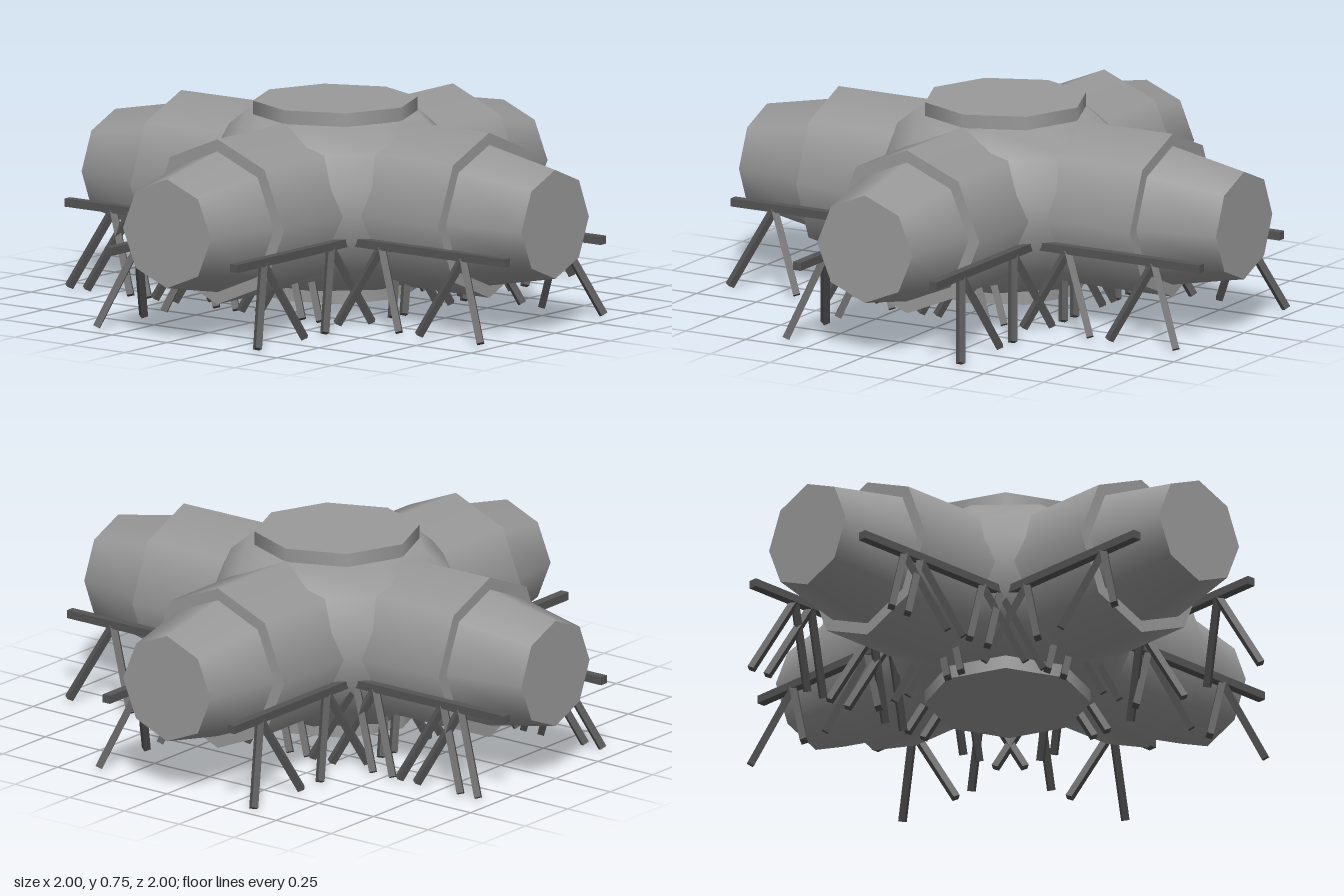
import * as THREE from 'three';

const hullGrey = new THREE.MeshStandardMaterial({ color: 0x9a9a9a });
hullGrey.name = 'hullGrey';
const strutGrey = new THREE.MeshStandardMaterial({ color: 0x555555 });
strutGrey.name = 'strutGrey';

const CENTER_Y = 0.405;
const UP = new THREE.Vector3(0, 1, 0);

function add(parent, name, geometry, material) {
  const mesh = new THREE.Mesh(geometry, material);
  mesh.name = name;
  parent.add(mesh);
  return mesh;
}

// square bar between two points
function bar(parent, name, a, b, thickness) {
  const dir = b.clone().sub(a);
  const mesh = add(parent, name, new THREE.BoxGeometry(thickness, dir.length(), thickness), strutGrey);
  mesh.position.copy(a).add(b).multiplyScalar(0.5);
  mesh.quaternion.setFromUnitVectors(UP, dir.normalize());
  return mesh;
}

// eight-sided tube section lying along z with a corner on top
function section(parent, name, rOuter, rInner, z0, z1) {
  const geo = new THREE.CylinderGeometry(rOuter, rInner, z1 - z0, 8);
  geo.rotateX(Math.PI / 2);
  geo.translate(0, 0, (z0 + z1) / 2);
  add(parent, name, geo, hullGrey);
}

// rail along one side of an arm, standing on splayed V legs
function legRail(parent, side, apexes, end) {
  const rail = new THREE.Group();
  rail.name = side > 0 ? 'supportRailA' : 'supportRailB';
  const x = side * 0.285;
  const beam = add(rail, 'railBeam', new THREE.BoxGeometry(0.033, 0.03, end + 0.1), strutGrey);
  beam.position.set(x, 0.305 - CENTER_Y, (end - 0.1) / 2);
  for (const z of apexes) {
    for (const s of [-1, 1]) {
      const top = new THREE.Vector3(x, 0.3 - CENTER_Y, z);
      const foot = new THREE.Vector3(side * 0.366, 0.014 - CENTER_Y, z + s * 0.14);
      bar(rail, 'legStrut', top, foot, 0.025);
    }
  }
  parent.add(rail);
}

export function createModel() {
  const model = new THREE.Group();
  model.name = 'crossModuleStation';

  // faceted hub with smooth shading
  const profile = [[0, -0.3], [0.3, -0.3], [0.397, -0.212], [0.445, -0.1], [0.462, 0],
    [0.445, 0.1], [0.397, 0.212], [0.3, 0.3], [0, 0.3]]
    .map(([r, y]) => new THREE.Vector2(r / Math.cos(Math.PI / 8), y));
  const hub = add(model, 'hub', new THREE.LatheGeometry(profile, 8, Math.PI / 8), hullGrey);
  hub.position.y = CENTER_Y;

  // vertical docking collar, showing at the top and bottom
  const collar = add(model, 'dockingCollar', new THREE.CylinderGeometry(0.3, 0.3, 0.7, 8), hullGrey);
  collar.position.y = CENTER_Y;

  // four arms, each with its leg positions along the arm
  const arms = [
    { name: 'frontArm', turn: 0, a: [0.8, 0.4, 0], b: [0.8, 0.4, 0], end: 0.975 },
    { name: 'leftArm', turn: 1, a: [0.8, 0.43, 0.07], b: [0.8, 0.43, 0.07], end: 1 },
    { name: 'backArm', turn: 2, a: [0.82, 0.43, 0.07], b: [0.79, 0.43, 0.07], end: 0.99 },
    { name: 'rightArm', turn: 3, a: [0.79, 0.71, 0.4, 0.31, 0.01], b: [0.79, 0.71, 0.4, 0.31, 0.01], end: 1 },
  ];
  for (const { name, turn, a, b, end } of arms) {
    const arm = new THREE.Group();
    arm.name = name;
    section(arm, 'armTube', 0.303, 0.303, 0, 0.7);
    section(arm, 'taperedEnd', 0.2, 0.26, 0.69, 1);
    legRail(arm, 1, a, end);
    legRail(arm, -1, b, end);
    arm.position.y = CENTER_Y;
    arm.rotation.y = turn * Math.PI / 2;
    model.add(arm);
  }
  return model;
}
